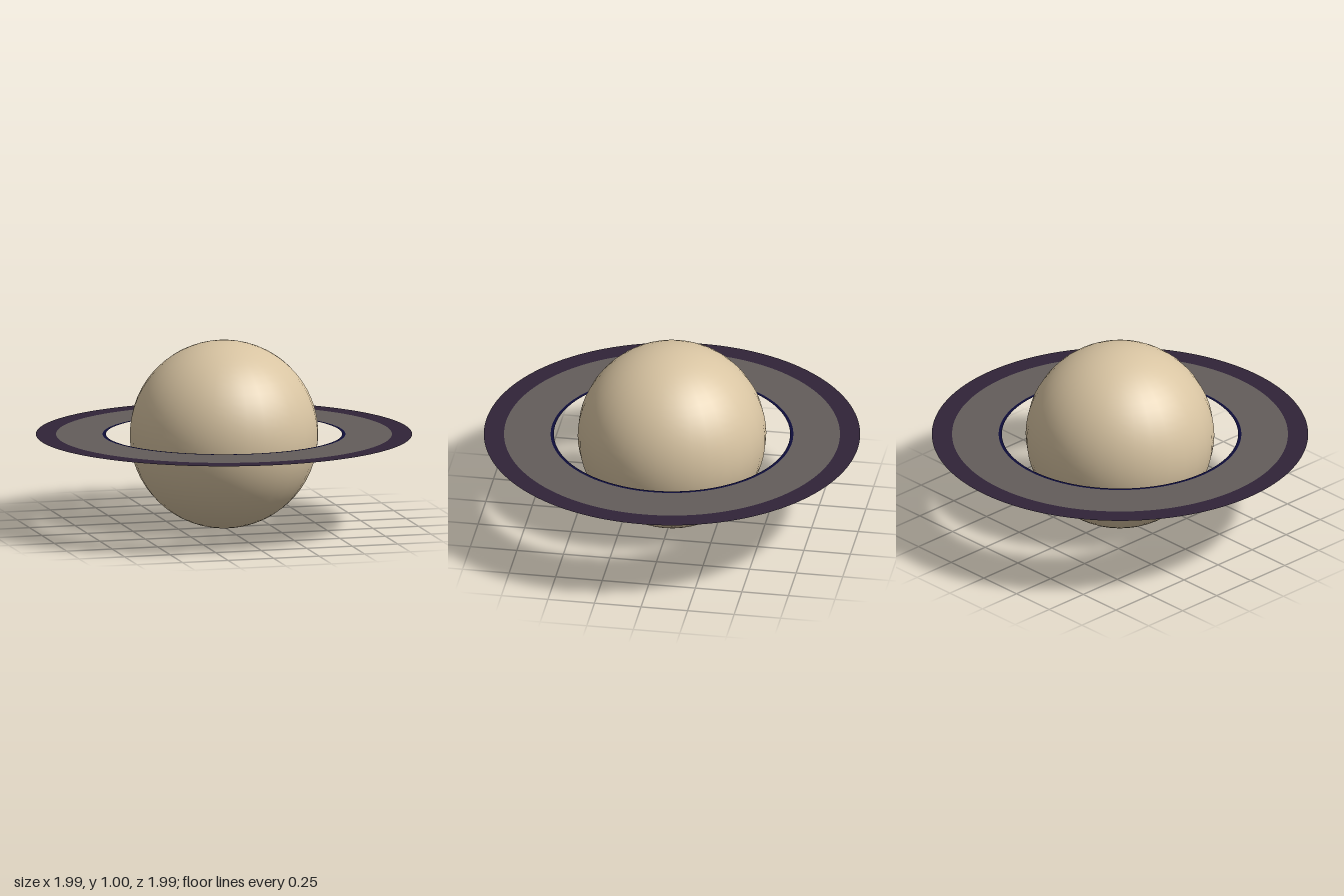
import * as THREE from 'three';

const material = (name, color, side = THREE.FrontSide) => {
  const m = new THREE.MeshStandardMaterial({ color, side });
  m.name = name;
  return m;
};

export function createModel() {
  const model = new THREE.Group();
  model.name = 'ringedPlanet';

  // Planet globe
  const globe = new THREE.Mesh(
    new THREE.SphereGeometry(0.5, 32, 32),
    material('sand', 0xd8c4a2)
  );
  globe.name = 'globe';
  globe.position.y = 0.5;
  model.add(globe);

  // Flat ring system around the equator, one band per colour
  const rings = new THREE.Group();
  rings.name = 'rings';
  rings.position.y = 0.5;
  const bands = [
    ['innerRingEdge', 0.626, 0.643, 'navy', 0x0e0d3a],
    ['mainRing', 0.643, 0.89, 'warmGrey', 0x635d5b],
    ['outerRing', 0.89, 0.997, 'darkPurple', 0x302438],
  ];
  for (const [name, inner, outer, colorName, color] of bands) {
    const band = new THREE.Mesh(
      new THREE.RingGeometry(inner, outer, 128).rotateX(-Math.PI / 2),
      material(colorName, color, THREE.DoubleSide)
    );
    band.name = name;
    rings.add(band);
  }
  model.add(rings);

  return model;
}
